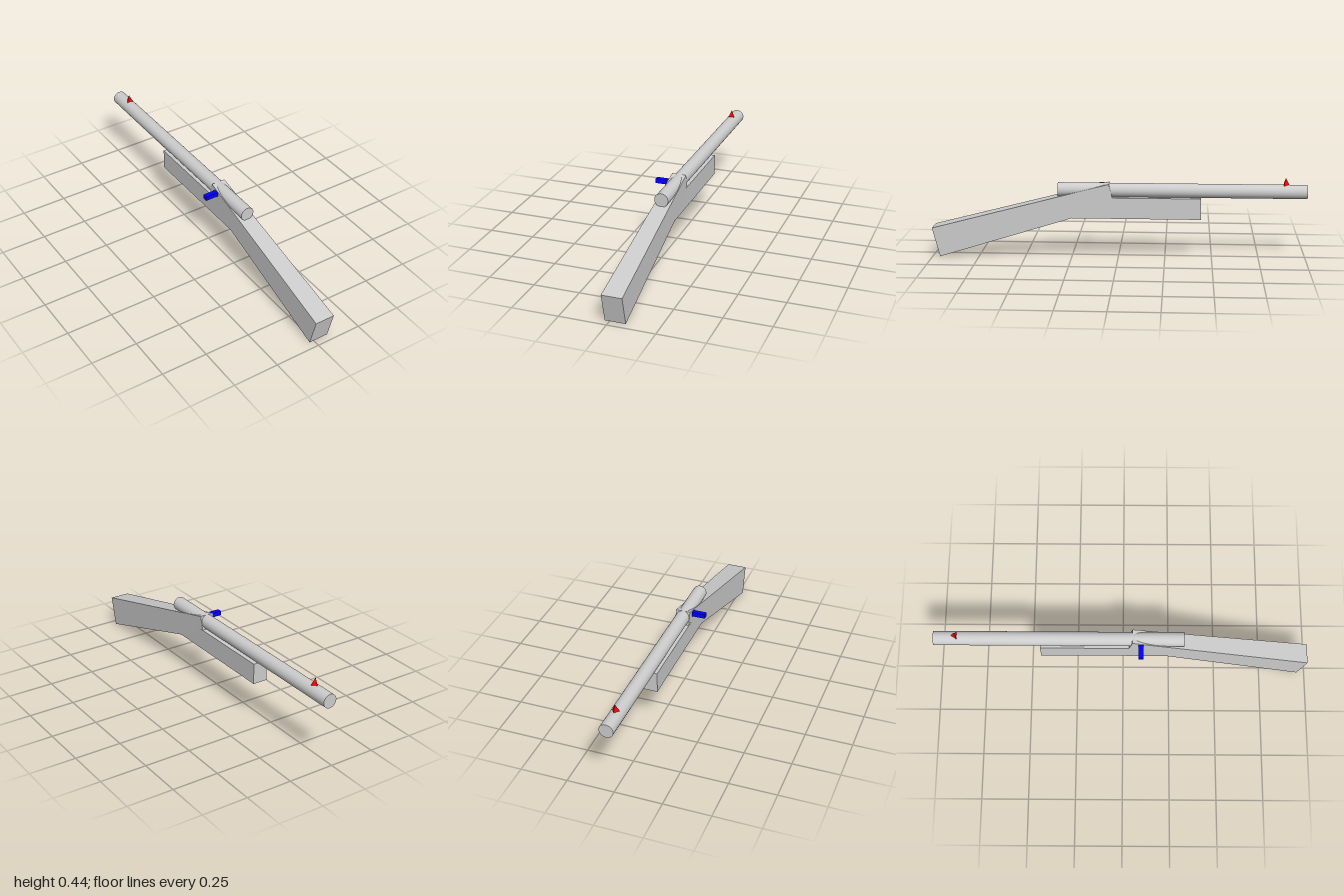
import * as THREE from 'three';

const CX = 0.029; // shared centre line of all long parts

export function createModel() {
  const group = new THREE.Group();
  const grey = new THREE.MeshStandardMaterial({ color: 0xcccccc });
  const red = new THREE.MeshStandardMaterial({ color: 0xff0000, flatShading: true });
  const blue = new THREE.MeshStandardMaterial({ color: 0x0000ff });

  function add(name, geometry, material, x, y, z) {
    const mesh = new THREE.Mesh(geometry, material);
    mesh.name = name;
    mesh.position.set(x, y, z);
    group.add(mesh);
    return mesh;
  }

  // Barrel: long smooth tube along z
  const barrel = new THREE.CylinderGeometry(0.0375, 0.0375, 1.323, 40).rotateX(Math.PI / 2);
  add('barrel', barrel, grey, CX, 0.366, -0.3385);

  // Fore-end: plain block under the barrel
  add('foreEnd', new THREE.BoxGeometry(0.08, 0.113, 0.69), grey, CX, 0.2735, -0.095);

  // Stock: box tapered between a tall, wide butt and a smaller, narrower neck
  const butt = { half: 0.054, top: [0.157, 1], bottom: [0, 0.96] };
  const neck = { half: 0.039, top: [0.403, 0.05], bottom: [0.287, 0.02] };
  const stock = new THREE.BoxGeometry(1, 1, 1);
  const pos = stock.attributes.position;
  for (let i = 0; i < pos.count; i++) {
    const end = pos.getZ(i) > 0 ? butt : neck;
    const [y, z] = pos.getY(i) > 0 ? end.top : end.bottom;
    pos.setXYZ(i, Math.sign(pos.getX(i)) * end.half, y, z);
  }
  stock.computeVertexNormals();
  add('stock', stock, grey, CX, 0, 0);

  // Side handle, running into the barrel
  add('sideHandle', new THREE.BoxGeometry(0.108, 0.024, 0.027), blue, -0.029, 0.372, 0.094);

  // Front sight: three-sided pyramid sunk into the barrel
  const sight = new THREE.ConeGeometry(0.0265, 0.053, 3).rotateY(Math.PI);
  add('frontSight', sight, red, CX, 0.4155, -0.885);

  return group;
}
